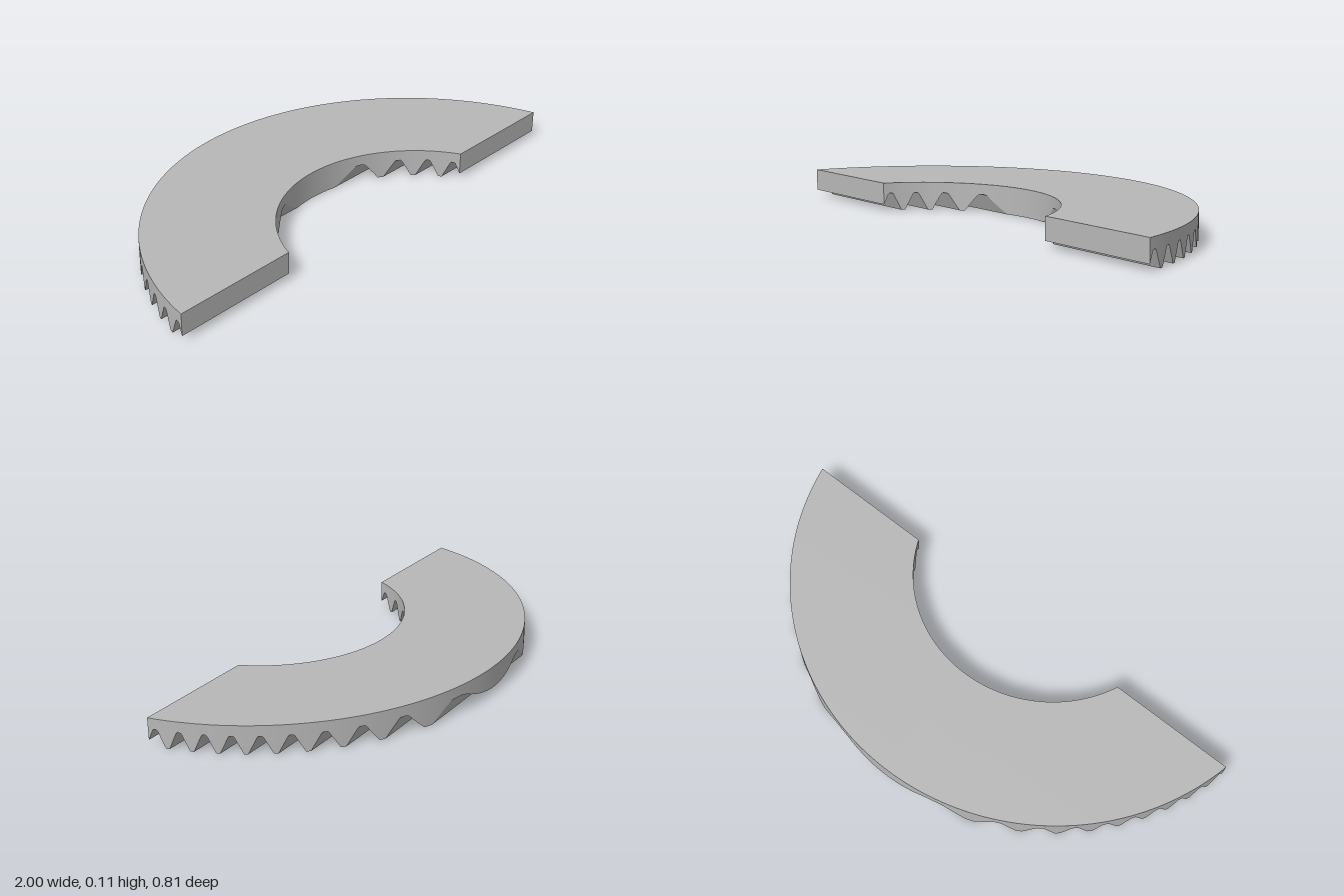
import * as THREE from 'three';

const ZC = 0.617, R_OUT = 1.022, R_IN = 0.537; // arc centre and radii
const Z_BACK = -0.405, Z_FRONT = 0.405, TOP = 0.109;
const PITCH = 0.0842;
// half tooth: distance from tooth centre, height
const TOOTH = [[0, 0], [0.006, 0], [0.0331, 0.064], [0.0371, 0.068], [PITCH / 2, 0.068]];

// underside height at z
function under(z) {
  const d = Math.abs(z - PITCH * Math.round(z / PITCH));
  for (let i = 1; i < TOOTH.length; i++) {
    const [d0, y0] = TOOTH[i - 1], [d1, y1] = TOOTH[i];
    if (d <= d1) return y0 + (y1 - y0) * (d - d0) / (d1 - d0);
  }
  return TOOTH[TOOTH.length - 1][1];
}

// half width of a circle at z
const halfWidth = (r, z) => Math.sqrt(Math.max(0, r * r - (z - ZC) ** 2));

// z stations: tooth corners plus even steps round both arcs
function stations() {
  const zs = [Z_BACK, Z_FRONT, ZC - R_IN];
  for (let k = -6; k <= 6; k++)
    for (const [d] of TOOTH) zs.push(k * PITCH + d, k * PITCH - d);
  for (const r of [R_OUT, R_IN])
    for (let i = 0; i <= 60; i++) zs.push(ZC - r * Math.cos(i * Math.PI / 120));
  return zs.filter(z => z >= Z_BACK && z <= Z_FRONT).sort((a, b) => a - b)
    .filter((z, i, a) => i === 0 || z - a[i - 1] > 1e-7);
}

// collects quads, turned so that they face their given normals
class Surface {
  positions = [];
  normals = [];
  quad(points, normals) {
    const p = points.map(q => new THREE.Vector3(...q));
    for (const tri of [[0, 1, 2], [0, 2, 3]]) {
      const [a, b, c] = tri.map(i => p[i]);
      const face = b.clone().sub(a).cross(c.clone().sub(a));
      if (face.length() < 1e-12) continue;
      const hint = new THREE.Vector3(...normals[tri[0]]);
      const order = face.dot(hint) < 0 ? [tri[0], tri[2], tri[1]] : tri;
      for (const i of order) {
        this.positions.push(...points[i]);
        this.normals.push(...normals[i]);
      }
    }
  }
  flat(points, normal) {
    this.quad(points, [normal, normal, normal, normal]);
  }
  mesh(name, material) {
    const g = new THREE.BufferGeometry();
    g.setAttribute('position', new THREE.Float32BufferAttribute(this.positions, 3));
    g.setAttribute('normal', new THREE.Float32BufferAttribute(this.normals, 3));
    const m = new THREE.Mesh(g, material);
    m.name = name;
    return m;
  }
}

export function createModel() {
  const group = new THREE.Group();
  group.name = 'serratedHalfRing';
  const steel = new THREE.MeshStandardMaterial({ color: 0xb8b8b8 });
  steel.name = 'grey steel';

  const top = new Surface(), teeth = new Surface(), ends = new Surface();
  const outer = new Surface(), inner = new Surface();
  const zs = stations();

  for (const s of [1, -1]) {
    for (let i = 1; i < zs.length; i++) {
      const a = zs[i - 1], b = zs[i];
      const ya = under(a), yb = under(b);
      const oa = s * halfWidth(R_OUT, a), ob = s * halfWidth(R_OUT, b);
      const ia = s * halfWidth(R_IN, a), ib = s * halfWidth(R_IN, b);

      // flat top and serrated underside
      top.flat([[ia, TOP, a], [oa, TOP, a], [ob, TOP, b], [ib, TOP, b]], [0, 1, 0]);
      const len = Math.hypot(b - a, yb - ya);
      teeth.flat([[ia, ya, a], [oa, ya, a], [ob, yb, b], [ib, yb, b]],
        [0, -(b - a) / len, (yb - ya) / len]);

      // curved walls with smooth radial normals
      const wall = (surface, xa, xb, r) => {
        const na = [xa / r, 0, (a - ZC) / r], nb = [xb / r, 0, (b - ZC) / r];
        surface.quad([[xa, ya, a], [xa, TOP, a], [xb, TOP, b], [xb, yb, b]], [na, na, nb, nb]);
      };
      wall(outer, oa, ob, R_OUT);
      if (a >= ZC - R_IN - 1e-6) wall(inner, ia, ib, -R_IN);
    }

    // straight cut end
    const x0 = s * halfWidth(R_IN, Z_FRONT), x1 = s * halfWidth(R_OUT, Z_FRONT);
    const y = under(Z_FRONT);
    ends.flat([[x0, y, Z_FRONT], [x1, y, Z_FRONT], [x1, TOP, Z_FRONT], [x0, TOP, Z_FRONT]], [0, 0, 1]);
  }

  group.add(
    top.mesh('topFace', steel), teeth.mesh('serratedUnderside', steel),
    outer.mesh('outerWall', steel), inner.mesh('innerWall', steel),
    ends.mesh('cutEnds', steel));
  return group;
}
